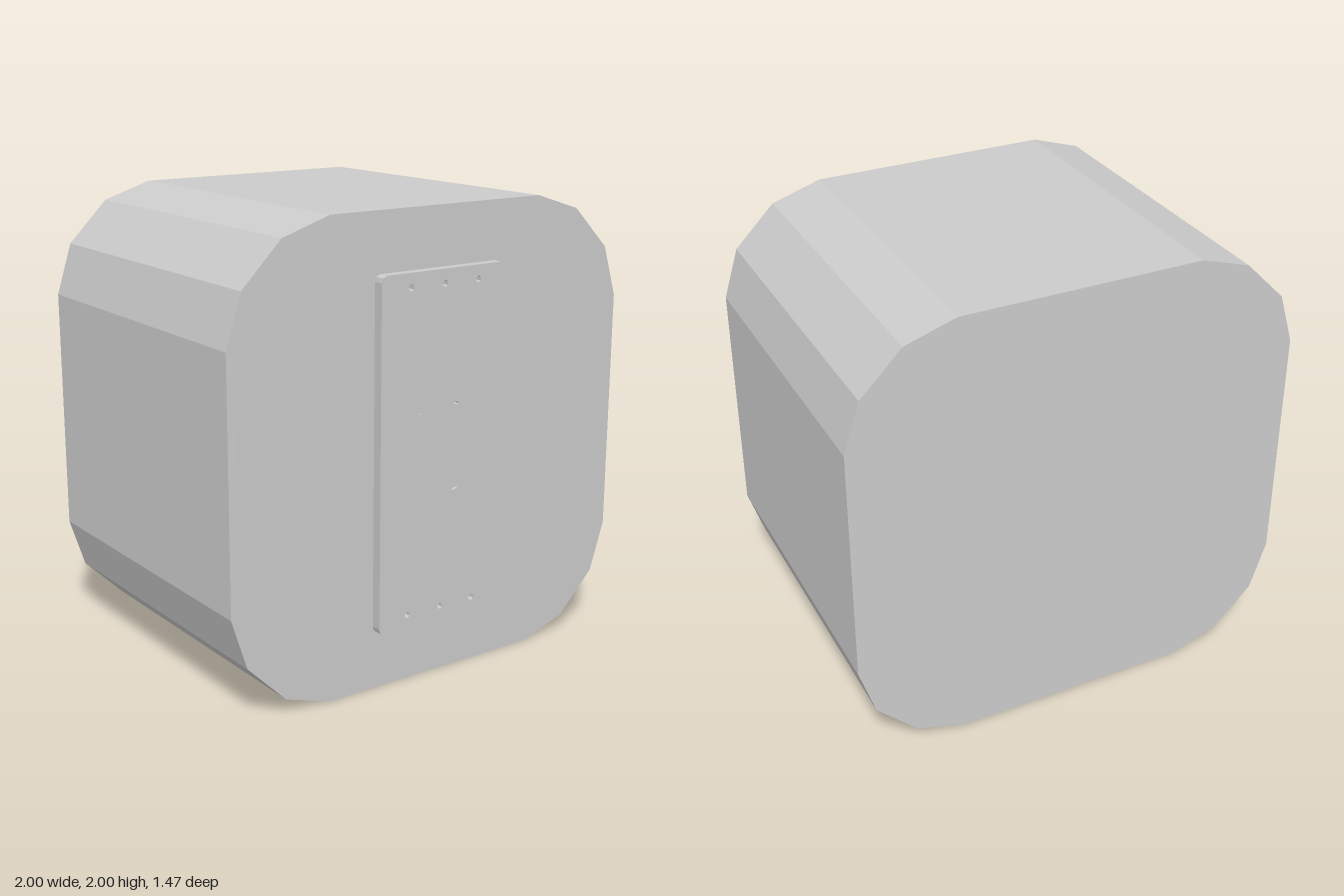
import * as THREE from 'three';

const material = new THREE.MeshStandardMaterial({ color: 0xcccccc, flatShading: true });

// Mirror one corner (listed from top edge to right edge) into a closed outline about the origin.
function mirroredOutline(corner) {
  const reversed = [...corner].reverse();
  return [
    ...corner,
    ...reversed.map(([x, y]) => [x, -y]),
    ...corner.map(([x, y]) => [-x, -y]),
    ...reversed.map(([x, y]) => [-x, y]),
  ].map(([x, y]) => new THREE.Vector2(x, y));
}

function slab(name, shape, back, front) {
  const geometry = new THREE.ExtrudeGeometry(shape, { depth: front - back, bevelEnabled: false });
  const mesh = new THREE.Mesh(geometry, material);
  mesh.name = name;
  mesh.position.set(0, 1, back);
  return mesh;
}

// Small polygonal hole, optionally stretched and tilted.
function hole(x, y, rx, ry, sides, tilt = 0) {
  const points = [];
  for (let i = 0; i < sides; i++) {
    const a = (i / sides) * Math.PI * 2 + Math.PI / 2;
    points.push(new THREE.Vector2(rx * Math.cos(a), ry * Math.sin(a))
      .rotateAround(new THREE.Vector2(), tilt).add(new THREE.Vector2(x, y)));
  }
  return new THREE.Path(points);
}

export function createModel() {
  const model = new THREE.Group();
  model.name = 'mountedBlock';

  // Block with faceted round corners
  const body = new THREE.Shape(mirroredOutline([[0.53, 1], [0.75, 0.93], [0.93, 0.75], [1, 0.53]]));
  model.add(slab('body', body, -0.735, 0.69));

  // Thin front plate with softened corners
  const plate = new THREE.Shape(mirroredOutline([[0.292, 0.75], [0.312, 0.742], [0.318, 0.722]]));

  // Screw holes in a row at each end
  for (const y of [-0.69, 0.69]) {
    for (const x of [-0.173, 0, 0.173]) plate.holes.push(hole(x, y, 0.014, 0.015, 6));
  }

  // Fine slits near the middle
  plate.holes.push(
    hole(0.068, 0.187, 0.021, 0.006, 4, -0.3),
    hole(0.068, -0.18, 0.023, 0.005, 4, 0.3),
    hole(-0.12, 0.167, 0.007, 0.004, 4, 0.3),
    hole(-0.132, -0.15, 0.007, 0.004, 4, -0.3),
  );
  model.add(slab('frontPlate', plate, 0.69, 0.735));

  return model;
}
